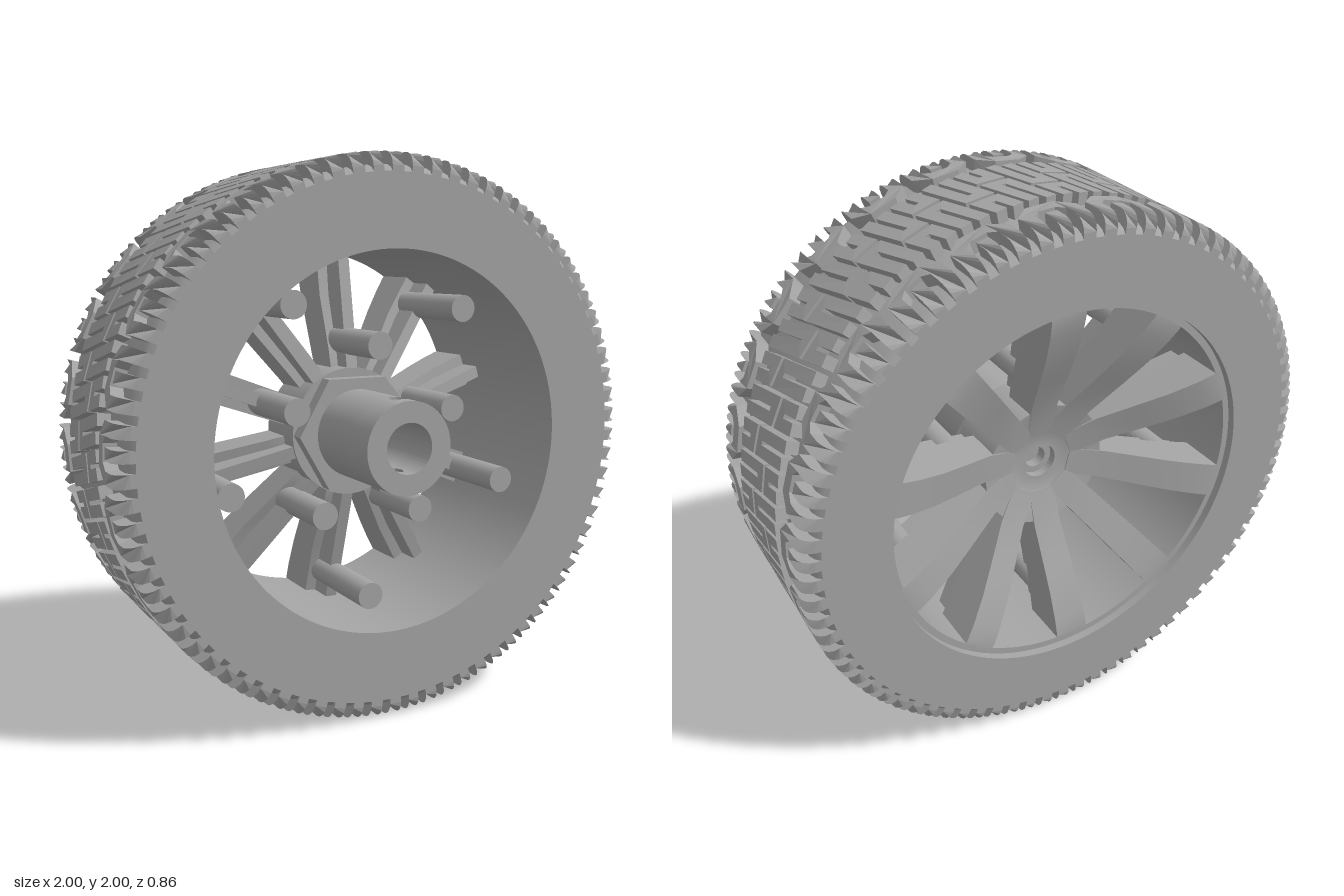
import * as THREE from 'three';
import { mergeGeometries, toCreasedNormals } from 'three/addons/utils/BufferGeometryUtils.js';

const FRONT = 0.345, BACK = -0.43, PERIODS = 26;
const grey = new THREE.MeshStandardMaterial({ color: 0xa3a3a3 });
grey.name = 'plain grey';

const V = (x, y) => new THREE.Vector2(x, y);

function add(parent, name, geometry) {
  const mesh = new THREE.Mesh(geometry, grey);
  mesh.name = name;
  parent.add(mesh);
  return mesh;
}

// Turned part about the z axis from [radius, z] pairs
function turned(profile, sides = 96) {
  const g = new THREE.LatheGeometry(profile.map(([r, z]) => V(r, z)), sides);
  return toCreasedNormals(g.rotateX(Math.PI / 2), 0.6);
}

// Wraps a flat plate (x = arc angle, y = -z) around the axle
function wrap(shape, innerRadius, outerRadius, curveSegments = 12) {
  const g = new THREE.ExtrudeGeometry(shape, { depth: 1, bevelEnabled: false, curveSegments });
  const p = g.attributes.position;
  for (let i = 0; i < p.count; i++) {
    const a = p.getX(i), z = -p.getY(i);
    const r = p.getZ(i) > 0.5 ? outerRadius(z) : innerRadius;
    p.setXYZ(i, r * Math.sin(a), r * Math.cos(a), z);
  }
  g.computeVertexNormals();
  return g;
}

// Constant-width ribbon with mitred corners along [angle, z] points
function ribbon(points, width) {
  const pts = points.map(([u, z]) => V(u, -z)), left = [], right = [];
  pts.forEach((p, i) => {
    const a = (i ? p.clone().sub(pts[i - 1]) : pts[1].clone().sub(p)).normalize();
    const b = (i < pts.length - 1 ? pts[i + 1].clone().sub(p) : a.clone()).normalize();
    const n = V(-a.y - b.y, a.x + b.x).normalize();
    n.multiplyScalar(width / 2 / (n.x * -a.y + n.y * a.x));
    left.push(p.clone().add(n));
    right.unshift(p.clone().sub(n));
  });
  return new THREE.Shape([...left, ...right]);
}

// Tread crown with rounded shoulders
function crown(z) {
  const k = Math.max(0, 0.05 - Math.min(FRONT - z, z - BACK));
  return 0.95 + Math.sqrt(Math.max(0, 0.0025 - k * k));
}

function treadPeriod() {
  const parts = [];
  const block = (pts, w) => parts.push(wrap(ribbon(pts, w), 0.92, crown));

  // Interlocking hooks of the centre band, each with its half-turn twin
  const hooks = [
    [[0.03, -0.175], [0.03, 0.02], [0.09, 0.02], [0.09, -0.17]],
    [[0.15, -0.175], [0.15, -0.08], [0.21, -0.08], [0.21, -0.175]],
  ];
  for (const hook of hooks) for (const s of [1, -1]) {
    block(hook.map(([u, w]) => [0.12 + s * (u - 0.12) + s * w * 0.25, s * w - 0.04]), 0.043);
  }

  // Shoulder lugs: a chamfered U around a tongue
  const steps = [0, 0.004, 0.015, 0.03, 0.05];
  for (const [edge, dir, shift] of [[FRONT, -1, 0.05], [BACK, 1, -0.05]]) {
    const at = (u, d) => [u + shift, edge + dir * d];
    const run = (u) => steps.map((d) => at(u, d));
    block([...run(0.03), at(0.03, 0.11), at(0.07, 0.148), at(0.15, 0.148),
      at(0.19, 0.11), ...run(0.19).reverse()], 0.048);
    block([...run(0.11), at(0.11, 0.1)], 0.042);
  }
  return mergeGeometries(parts);
}

function createTyre() {
  const tyre = new THREE.Group();
  tyre.name = 'tyre';
  add(tyre, 'tyreBodyAndRim', turned([
    [0.7, -0.4], [0.7, BACK], [0.93, BACK], [0.945, -0.415], [0.955, -0.39],
    [0.955, 0.305], [0.945, 0.33], [0.93, FRONT], [0.675, FRONT], [0.675, -0.4], [0.7, -0.4],
  ], 128));
  const tread = treadPeriod();
  for (let i = 0; i < PERIODS; i++) {
    add(tyre, 'treadBlocks', tread).rotation.z = (i * Math.PI * 2) / PERIODS;
  }
  return tyre;
}

// Side profile in [radius, z] given a width that varies with the radius
function blade(profile, width) {
  const shape = new THREE.Shape(profile.map(([r, z]) => V(r, z)));
  const g = new THREE.ExtrudeGeometry(shape, { depth: 1, bevelEnabled: false });
  const p = g.attributes.position;
  for (let i = 0; i < p.count; i++) p.setZ(i, (p.getZ(i) - 0.5) * width(p.getX(i)));
  g.rotateX(Math.PI / 2);
  return toCreasedNormals(g, 0.5);
}

function createSpokes() {
  const spokes = new THREE.Group();
  spokes.name = 'spokes';
  const arm = blade([
    [0.12, -0.2], [0.25, -0.235], [0.4, -0.305], [0.5, -0.35], [0.6, -0.385], [0.66, -0.4],
    [0.695, -0.4], [0.695, -0.22], [0.5, -0.18], [0.3, -0.1], [0.2, -0.07], [0.12, -0.07],
  ], (r) => 0.1 + 0.055 * Math.max(0, r - 0.12));
  const rib = blade([[0.2, -0.1], [0.68, -0.25], [0.68, -0.12], [0.2, 0]], () => 0.045);
  const pin = new THREE.CylinderGeometry(0.05, 0.05, 0.4, 24).rotateX(Math.PI / 2);
  for (let i = 0; i < 10; i++) {
    const spoke = new THREE.Group();
    spoke.name = 'spoke';
    spoke.rotation.z = THREE.MathUtils.degToRad(87.7 + 36 * i);
    add(spoke, 'spokeArm', arm);
    add(spoke, 'spokeRib', rib);
    // Pins alternate between the hub end and the rim end
    add(spoke, 'spokePin', pin).position.x = i % 2 ? 0.585 : 0.335;
    spokes.add(spoke);
  }
  return spokes;
}

function createHub() {
  const hub = new THREE.Group();
  hub.name = 'hub';
  // Dished back with a stepped bolt recess
  add(hub, 'hubBody', turned([
    [0, -0.12], [0.04, -0.12], [0.04, -0.16], [0.065, -0.16], [0.065, -0.19],
    [0.11, -0.19], [0.13, -0.2], [0.24, -0.225], [0.24, 0], [0, 0],
  ]));
  const hex = new THREE.CylinderGeometry(0.237, 0.237, 0.06, 6, 1, false, Math.PI / 6);
  add(hub, 'hexCollar', toCreasedNormals(hex.rotateX(Math.PI / 2), 0.5)).position.z = 0.025;
  add(hub, 'axleTube', turned([
    [0.165, 0.02], [0.165, 0.29], [0.09, 0.29], [0.09, 0.1], [0, 0.1],
  ], 64));

  // Tube end: two plain arcs and two panels drilled for a cross pin
  const half = 0.3, z0 = 0.29, z1 = 0.43;
  const arc = new THREE.Shape();
  arc.absarc(0, 0, 0.165, -Math.PI / 2 + half, Math.PI / 2 - half, false);
  arc.absarc(0, 0, 0.09, Math.PI / 2 - half, -Math.PI / 2 + half, true);
  const arcGeo = toCreasedNormals(new THREE.ExtrudeGeometry(arc,
    { depth: z1 - z0, bevelEnabled: false, curveSegments: 32 }), 0.5);
  arcGeo.translate(0, 0, z0);

  const edge = [-1, -0.6, -0.2, 0.2, 0.6, 1].map((t) => t * half);
  const panel = new THREE.Shape([
    ...edge.map((u) => V(u, -z1)), ...edge.slice().reverse().map((u) => V(u, -z0)),
  ]);
  const hole = new THREE.Path();
  hole.absellipse(0, -0.345, 0.2, 0.033, 0, Math.PI * 2, true);
  panel.holes.push(hole);
  const panelGeo = toCreasedNormals(wrap(panel, 0.09, () => 0.165, 24), 0.5);
  for (const turn of [0, Math.PI]) {
    add(hub, 'axleTubeEnd', arcGeo).rotation.z = turn;
    add(hub, 'crossPinPanel', panelGeo).rotation.z = turn;
  }
  return hub;
}

export function createModel() {
  const wheel = new THREE.Group();
  wheel.name = 'wheel';
  wheel.add(createTyre(), createSpokes(), createHub());
  wheel.position.y = 1;
  const model = new THREE.Group();
  model.name = 'wheelModel';
  model.add(wheel);
  return model;
}
